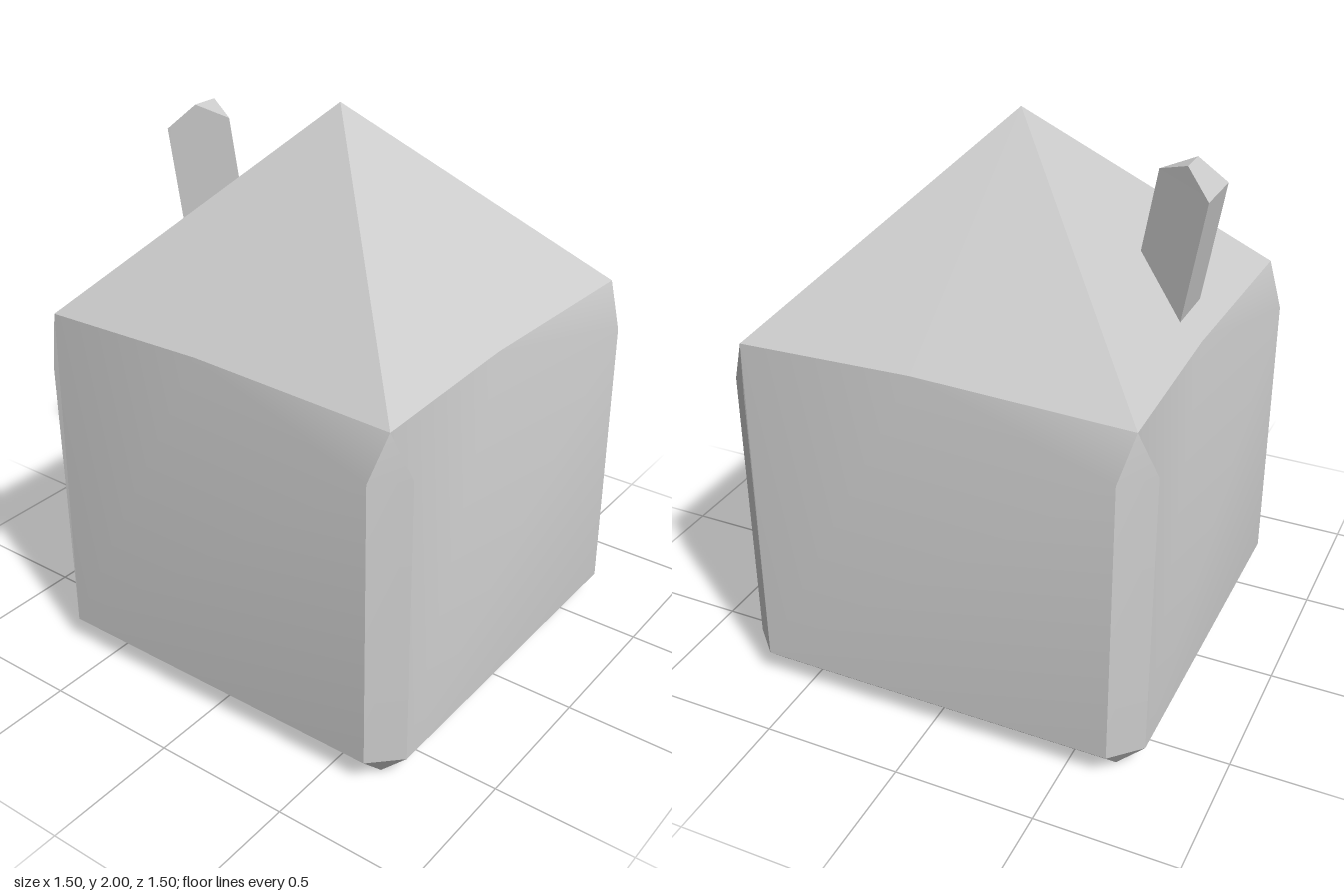
import * as THREE from 'three';
import { toCreasedNormals } from 'three/addons/utils/BufferGeometryUtils.js';

// Convex polygons (counter-clockwise from outside) fanned into triangles
function facesMesh(name, polygons, crease) {
  const points = [];
  for (const p of polygons) {
    for (let i = 1; i < p.length - 1; i++) points.push(...p[0], ...p[i], ...p[i + 1]);
  }
  let geometry = new THREE.BufferGeometry();
  geometry.setAttribute('position', new THREE.Float32BufferAttribute(points, 3));
  geometry = toCreasedNormals(geometry, crease);
  const mesh = new THREE.Mesh(geometry, new THREE.MeshStandardMaterial({ color: 0xcccccc }));
  mesh.name = name;
  return mesh;
}

// Repeat polygons around the vertical axis in quarter turns
function fourSides(polygons) {
  let turned = polygons;
  const all = [];
  for (let i = 0; i < 4; i++) {
    all.push(...turned);
    turned = turned.map((p) => p.map(([x, y, z]) => [z, y, -x]));
  }
  return all;
}

export function createModel() {
  const house = new THREE.Group();
  house.name = 'house';

  const half = 0.75, inner = 0.65, bevelTop = 0.1, wallTop = 1.15;
  const eave = 0.69, eaveY = 1.31;
  const apex = [0, 2, 0];
  const eaveLeft = [eave, eaveY, eave];
  const eaveRight = [-eave, eaveY, eave];
  const eaveMiddle = [-0.07, 1.322, 0.678];
  const lowLeft = [inner, bevelTop, half], lowRight = [-inner, bevelTop, half];
  const topLeft = [inner, wallTop, half], topRight = [-inner, wallTop, half];
  const sideLow = [half, bevelTop, inner], sideTop = [half, wallTop, inner];
  const footLeft = [inner, 0, inner], footRight = [-inner, 0, inner];

  // Walls folded along a diagonal: the upper right half sinks back to the eaves,
  // leaving a thin step beside the corner
  house.add(facesMesh('walls', fourSides([
    [lowRight, lowLeft, topLeft],
    [lowRight, topLeft, eaveMiddle],
    [lowRight, eaveMiddle, eaveRight],
    [topLeft, eaveLeft, eaveMiddle],
    [lowRight, eaveRight, topRight],
  ]), 0.5));

  // Chamfered corners
  house.add(facesMesh('corners', fourSides([
    [lowLeft, sideLow, sideTop, topLeft],
    [topLeft, sideTop, eaveLeft],
  ]), 0.1));

  // Bevelled base and underside
  house.add(facesMesh('base', [
    ...fourSides([
      [footRight, footLeft, lowLeft, lowRight],
      [footLeft, sideLow, lowLeft],
    ]),
    [footLeft, footRight, [-inner, 0, -inner], [inner, 0, -inner]],
  ], 0.1));

  // Pyramid roof
  house.add(facesMesh('roof', fourSides([
    [apex, eaveRight, eaveMiddle],
    [apex, eaveMiddle, eaveLeft],
  ]), 0.1));

  // Leaning three-sided chimney with a pointed top
  const mirror = ([x, y, z]) => [x, y, -z];
  const outerBase = [-0.61, 1.39, 0.1], innerBase = [-0.43, 1.57, 0];
  const innerTop = [-0.48, 1.86, 0], ridge = [-0.59, 1.9, 0.05], outerTop = [-0.68, 1.81, 0.1];
  const side = [outerBase, innerBase, innerTop, ridge, outerTop];
  house.add(facesMesh('chimney', [
    side,
    side.map(mirror).reverse(),
    [mirror(outerBase), outerBase, outerTop, mirror(outerTop)],
    [mirror(outerTop), outerTop, ridge, mirror(ridge)],
    [mirror(ridge), ridge, innerTop],
  ], 0.1));

  return house;
}
